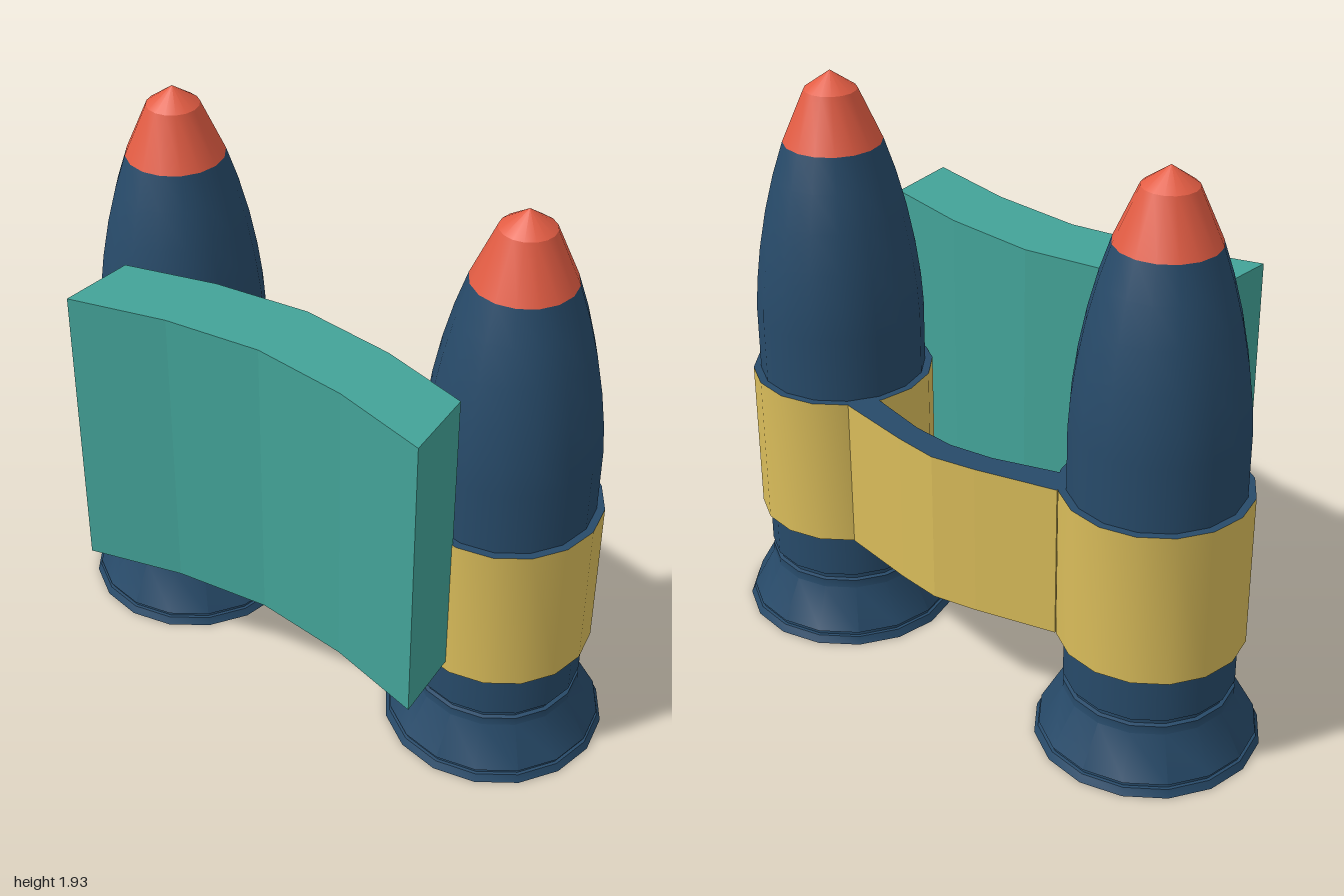
import * as THREE from 'three';
import { toCreasedNormals } from 'three/addons/utils/BufferGeometryUtils.js';

const material = (name, color) => {
  const m = new THREE.MeshStandardMaterial({ color });
  m.name = name;
  return m;
};

const SIDES = 16;
const points = (list) => list.map(([a, b]) => new THREE.Vector2(a, b));
const lathe = (profile) => toCreasedNormals(new THREE.LatheGeometry(points(profile), SIDES), 0.5);

// Extrudes a plan outline given as (x, z) upwards from y0 to y1
function plate(outline, y0, y1) {
  const shape = new THREE.Shape(points(outline.map(([x, z]) => [x, -z])));
  const g = new THREE.ExtrudeGeometry(shape, { depth: y1 - y0, bevelEnabled: false });
  return g.rotateX(-Math.PI / 2).translate(0, y0, 0);
}

// Completes a half outline that runs from z = 0 to +z with its mirror image
const mirrorZ = (half) => [...half.slice(1).reverse().map(([x, z]) => [x, -z]), ...half];

export function createModel() {
  const blue = material('navy blue', 0x274a69);
  const red = material('coral red', 0xe25c43);
  const yellow = material('mustard yellow', 0xd9bc5a);
  const teal = material('teal', 0x43a398);

  const model = new THREE.Group();
  model.name = 'twinRocketPack';
  const add = (parent, name, geometry, mat) => {
    const mesh = new THREE.Mesh(geometry, mat);
    mesh.name = name;
    parent.add(mesh);
  };

  // Rocket body with hollow nozzle, grooves and tapering shoulder
  const body = lathe([
    [0, 0.1], [0.28, 0.1], [0.29, 0], [0.365, 0], [0.353, 0.025], [0.343, 0.026],
    [0.343, 0.036], [0.35, 0.04], [0.275, 0.175], [0.275, 0.204], [0.262, 0.207],
    [0.262, 0.225], [0.275, 0.228], [0.275, 1.12], [0.268, 1.22], [0.252, 1.34],
    [0.227, 1.47], [0.196, 1.59], [0.16, 1.7],
  ]);
  const tip = lathe([[0.16, 1.7], [0.085, 1.87], [0, 1.93]]);
  const bandSide = lathe([[0.3, 0.385], [0.3, 0.905]]);
  const bandTop = lathe([[0.3, 0.905], [0.27, 0.905]]);
  const bandBottom = lathe([[0.27, 0.385], [0.3, 0.385]]);

  for (const [name, z] of [['frontRocket', 0.635], ['backRocket', -0.635]]) {
    const rocket = new THREE.Group();
    rocket.name = name;
    rocket.position.set(0.085, 0, z);
    add(rocket, 'body', body, blue);
    add(rocket, 'noseTip', tip, red);
    add(rocket, 'band', bandSide, yellow);
    add(rocket, 'bandTopEdge', bandTop, blue);
    add(rocket, 'bandBottomEdge', bandBottom, blue);
    model.add(rocket);
  }

  // Curved strap joining the bands: blue top and bottom, yellow sides
  const strapOuter = mirrorZ([[0.38, 0], [0.357, 0.15], [0.298, 0.42]]);
  const strapInner = mirrorZ([[0.287, 0], [0.27, 0.15], [0.2, 0.4]]);
  add(model, 'strap', plate([...strapOuter, ...strapInner.reverse()], 0.385, 0.905), [blue, yellow]);

  // Curved back panel
  const panelOuter = mirrorZ([[-0.335, 0], [-0.372, 0.32], [-0.455, 0.638]]);
  const panelInner = mirrorZ([[-0.087, 0], [-0.125, 0.32], [-0.205, 0.618]]);
  add(model, 'backPanel', plate([...panelOuter, ...panelInner.reverse()], 0.42, 1.435), teal);

  return model;
}
